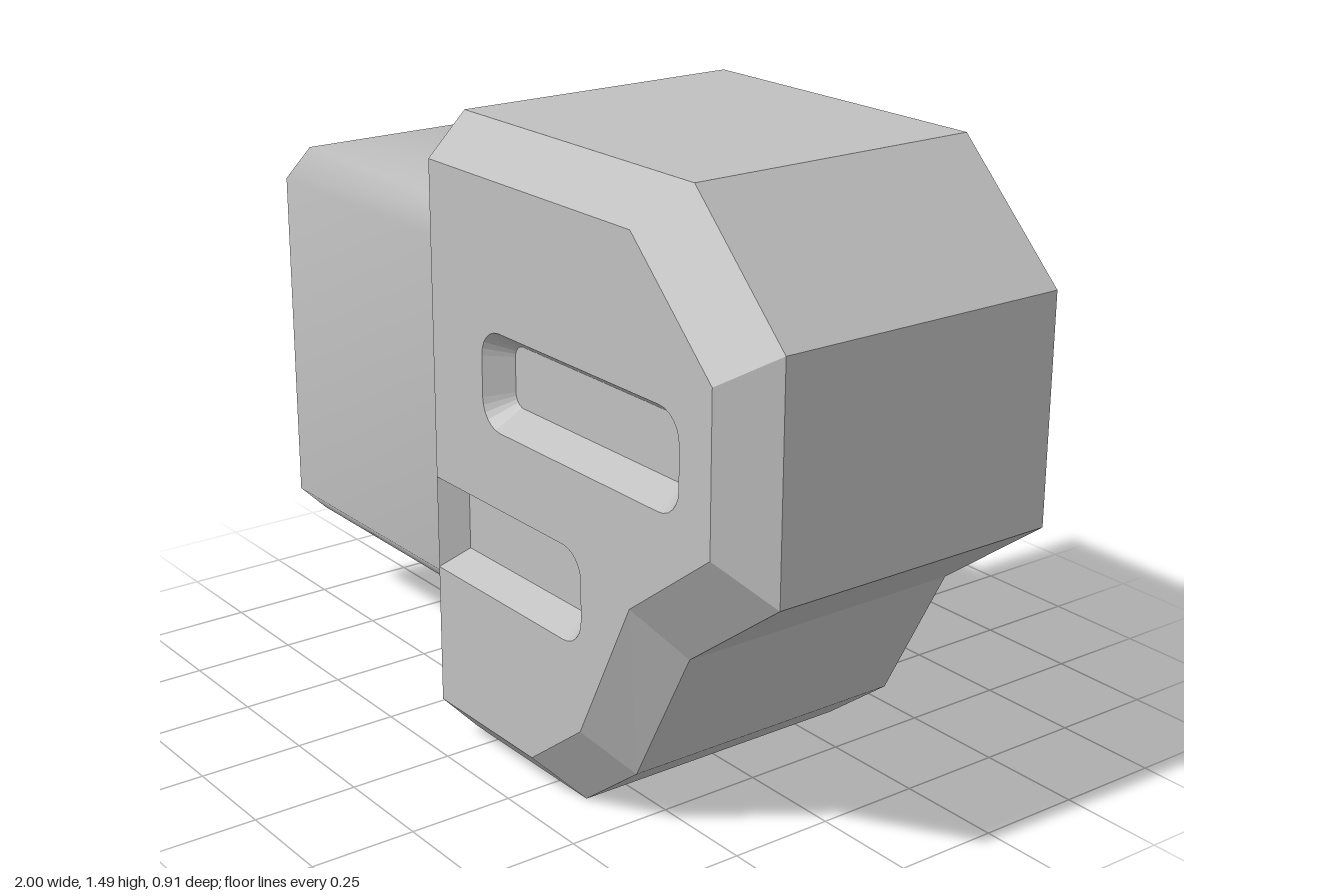
import * as THREE from 'three';

const X0 = -0.085;          // flat side of the head where the shank enters
const RIM = 0.36, FACE = 0.455, FLOOR = FACE - 0.06;

// Collects flat facets on the front half and repeats each one on the back half
function mirroredFacets() {
  const pos = [];
  const tri = (a, b, c) => {
    for (const p of [a, b, c]) pos.push(p[0], p[1], p[2]);
    for (const p of [c, b, a]) pos.push(p[0], p[1], -p[2]);
  };
  return {
    // band of quads between two matching closed loops
    band(a, za, b, zb) {
      a.forEach((p, i) => {
        const j = (i + 1) % a.length;
        const A = [...p, za], B = [...a[j], za], C = [...b[j], zb], D = [...b[i], zb];
        tri(A, B, C);
        tri(A, C, D);
      });
    },
    // flat polygon with optional holes
    fill(loop, z, holes = []) {
      const v = (l) => l.map((p) => new THREE.Vector2(...p));
      const all = [loop, ...holes].flat();
      for (const f of THREE.ShapeUtils.triangulateShape(v(loop), holes.map(v))) {
        tri(...f.map((i) => [...all[i], z]));
      }
    },
    geometry() {
      const g = new THREE.BufferGeometry();
      g.setAttribute('position', new THREE.Float32BufferAttribute(pos, 3));
      g.computeVertexNormals();
      return g;
    },
  };
}

// Counter-clockwise rectangle; left corners may be square
function slotLoop(x0, x1, y0, y1, r, squareLeft) {
  const pts = [];
  const corner = (cx, cy, start) => {
    for (let k = 0; k <= 6; k++) {
      const a = start + (k / 6) * Math.PI / 2;
      pts.push([cx + r * Math.cos(a), cy + r * Math.sin(a)]);
    }
  };
  if (squareLeft) pts.push([x0, y0]); else corner(x0 + r, y0 + r, Math.PI);
  corner(x1 - r, y0 + r, -Math.PI / 2);
  corner(x1 - r, y1 - r, 0);
  if (squareLeft) pts.push([x0, y1]); else corner(x0 + r, y1 - r, Math.PI / 2);
  return pts;
}

// Shank: eight-sided bar with softly shaded corners and a flat end
function shankGeometries() {
  const y0 = 0.235, y1 = 1.21, w = 0.305, c = 0.07;
  const ring = [
    [y0, -w + c], [y0, w - c], [y0 + c, w], [y1 - c, w],
    [y1, w - c], [y1, -w + c], [y1 - c, -w], [y0 + c, -w],
  ];
  const n = ring.length, pos = [], index = [], cap = [];
  for (const x of [-1, X0]) for (const [y, z] of ring) pos.push(x, y, z);
  for (let i = 0; i < n; i++) {
    const j = (i + 1) % n;
    index.push(i, n + i, n + j, i, n + j, j);
    if (i > 0 && i < n - 1) cap.push(0, i, i + 1);
  }
  const make = (p, idx) => {
    const g = new THREE.BufferGeometry();
    g.setAttribute('position', new THREE.Float32BufferAttribute(p, 3));
    g.setIndex(idx);
    g.computeVertexNormals();
    return g;
  };
  return [make(pos, index), make(pos.slice(0, n * 3), cap)];
}

export function createModel() {
  const grey = new THREE.MeshStandardMaterial({ color: 0xbfbfbf });
  grey.name = 'light grey';
  const model = new THREE.Group();
  model.name = 'bevelledHeadOnShank';
  const add = (name, geometry) => {
    const m = new THREE.Mesh(geometry, grey);
    m.name = name;
    model.add(m);
  };

  // Head outline and the smaller outline of its bevelled faces
  const outer = [[X0, 0], [0.355, 0], [0.54, 0.14], [0.72, 0.48],
    [1, 0.69], [1, 1.21], [0.72, 1.485], [X0, 1.485]];
  const inner = [[X0, 0.1], [0.28, 0.1], [0.465, 0.24], [0.64, 0.59],
    [0.9, 0.785], [0.9, 1.14], [0.64, 1.39], [X0, 1.39]];

  // Two recessed slots; the lower one starts at the flat side
  const upperLip = slotLoop(0.11, 0.8, 0.835, 1.06, 0.065, false);
  const upperFloor = slotLoop(0.15, 0.755, 0.88, 1.02, 0.03, false);
  const lowerLip = slotLoop(X0, 0.47, 0.435, 0.655, 0.065, true);
  const lowerFloor = slotLoop(X0 + 0.04, 0.43, 0.48, 0.615, 0.03, true);

  const head = mirroredFacets();
  head.band(outer, 0, outer, RIM);
  head.band(outer, RIM, inner, FACE);
  head.fill([...inner, ...[...lowerLip].reverse()], FACE, [upperLip]);
  add('head', head.geometry());

  for (const [name, lip, floor] of [
    ['upperSlots', upperLip, upperFloor],
    ['lowerSlots', lowerLip, lowerFloor],
  ]) {
    const slot = mirroredFacets();
    slot.band(lip, FACE, floor, FLOOR);
    slot.fill(floor, FLOOR);
    add(name, slot.geometry());
  }

  const [sides, end] = shankGeometries();
  add('shank', sides);
  add('shankEnd', end);
  return model;
}
